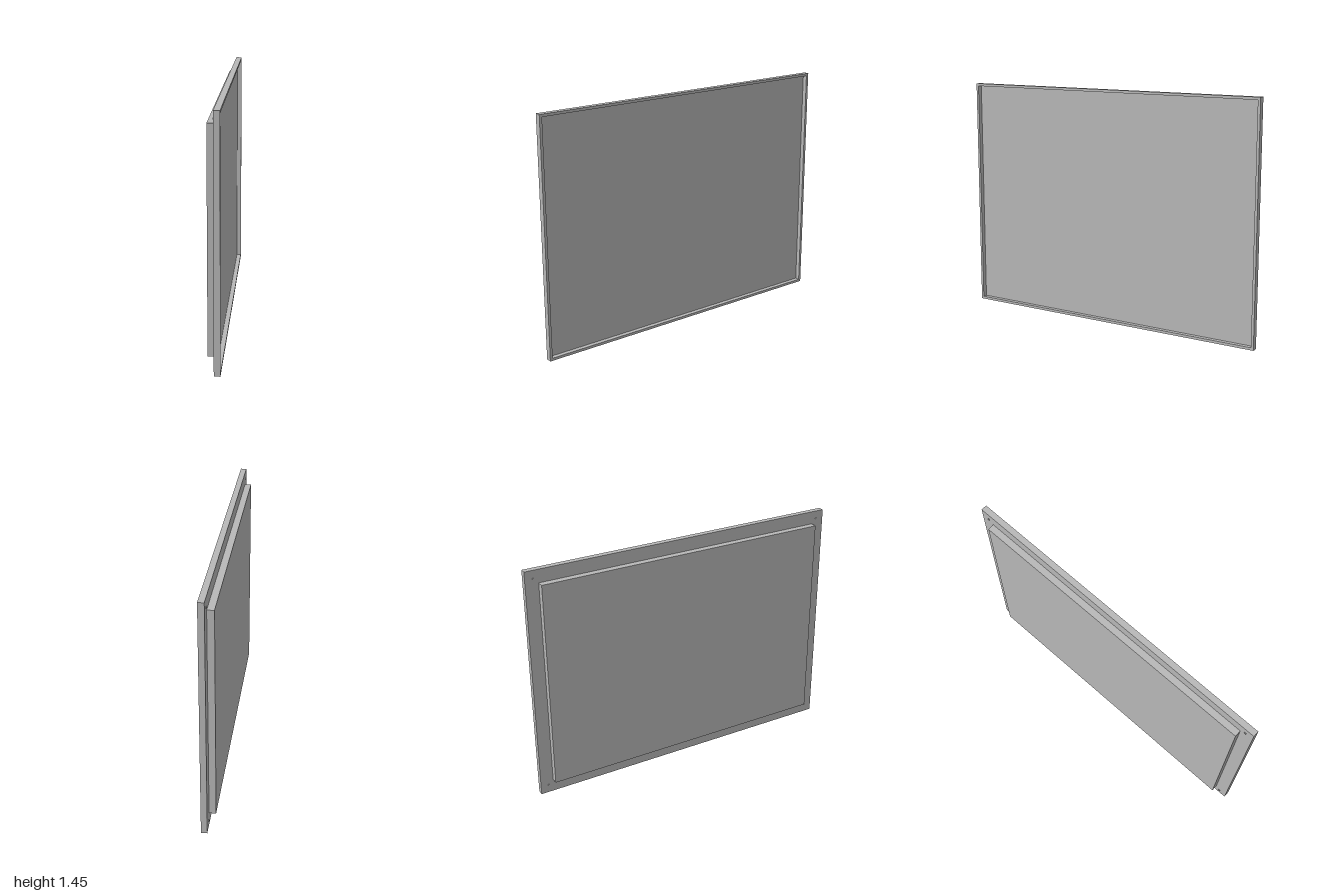
import * as THREE from 'three';

const H = 1.45, RIM = 0.016, FRONT = 0.036, PANEL = 0.008, BACK = -0.04;

export function createModel() {
  const group = new THREE.Group();
  const grey = new THREE.MeshStandardMaterial({ color: 0xb8b8b8 });
  grey.name = 'panelGrey';

  // Box given by its low and high corners
  const addBox = (name, [x0, y0, z0], [x1, y1, z1]) => {
    const mesh = new THREE.Mesh(new THREE.BoxGeometry(x1 - x0, y1 - y0, z1 - z0), grey);
    mesh.position.set((x0 + x1) / 2, (y0 + y1) / 2, (z0 + z1) / 2);
    mesh.name = name;
    group.add(mesh);
  };

  // Thin rectangular frame, facing +x
  const shape = new THREE.Shape([
    new THREE.Vector2(-1, 0), new THREE.Vector2(1, 0),
    new THREE.Vector2(1, H), new THREE.Vector2(-1, H),
  ]);
  const w = 1 - RIM;
  shape.holes.push(new THREE.Path([
    new THREE.Vector2(-w, RIM), new THREE.Vector2(-w, H - RIM),
    new THREE.Vector2(w, H - RIM), new THREE.Vector2(w, RIM),
  ]));
  const frame = new THREE.Mesh(
    new THREE.ExtrudeGeometry(shape, { depth: FRONT, bevelEnabled: false }), grey);
  frame.rotation.y = Math.PI / 2;
  frame.name = 'frame';
  group.add(frame);

  // Recessed face and the shallow housing behind it
  addBox('recessedPanel', [0, RIM, -w], [PANEL, H - RIM, w]);
  addBox('backHousing', [BACK, 0.08, -0.92], [0, 1.37, 0.92]);

  // Small screw heads in the back corners
  for (const y of [0.05, H - 0.05]) {
    for (const z of [-0.95, 0.95]) {
      const screw = new THREE.Mesh(new THREE.CylinderGeometry(0.006, 0.006, 0.006, 12), grey);
      screw.rotation.z = Math.PI / 2;
      screw.position.set(-0.002, y, z);
      screw.name = 'cornerScrew';
      group.add(screw);
    }
  }
  return group;
}
